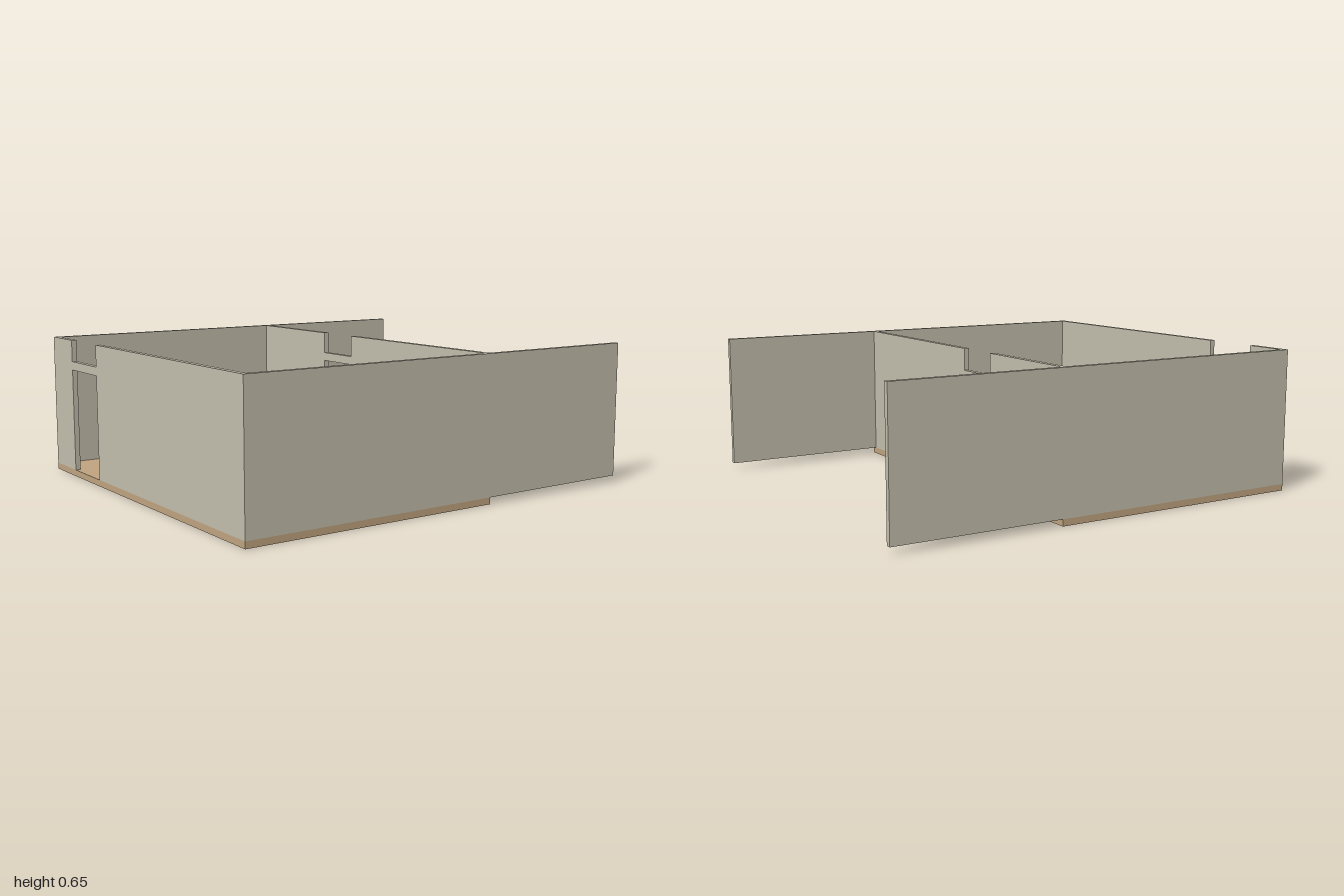
import * as THREE from 'three';

const mat = (color) => new THREE.MeshStandardMaterial({ color });

export function createModel() {
  const model = new THREE.Group();
  const wall = mat(0xc4bfad), wood = mat(0xc0a480), desk = mat(0xa07c58);
  const blue = mat(0x5a7888), green = mat(0x5c7064), dark = mat(0x2e3a3e);

  // Box given by its limits on each axis
  const box = (name, material, [x0, x1], [y0, y1], [z0, z1], parent = model) => {
    const mesh = new THREE.Mesh(new THREE.BoxGeometry(x1 - x0, y1 - y0, z1 - z0), material);
    mesh.position.set((x0 + x1) / 2, (y0 + y1) / 2, (z0 + z1) / 2);
    mesh.name = name;
    parent.add(mesh);
  };

  const floorY = 0.03, topY = 0.65, W = 0.887, T = 0.024;

  // Floor slab
  box('floor', wood, [-W, W], [0, floorY], [-0.222, 1]);

  // Long side walls, running on past the back of the floor
  box('leftWall', wall, [W - T, W], [floorY, topY], [-1, 1]);
  box('rightWall', wall, [-W, T - W], [floorY, topY], [-1, 1]);

  // Cross walls: two panels and a thin lintel over an open doorway
  const crossWall = (name, z, [d0, d1]) => {
    const group = new THREE.Group();
    group.name = name;
    const inner = W - T;
    box('panelRight', wall, [-inner, d0], [floorY, topY], z, group);
    box('panelLeft', wall, [d1, inner], [floorY, topY], z, group);
    box('lintel', wall, [d0, d1], [0.51, 0.55], z, group);
    model.add(group);
  };
  crossWall('frontWall', [1 - T, 1], [-0.67, -0.4]);
  crossWall('backWall', [-0.222, -0.198], [-0.315, -0.09]);

  // Counter with a wooden top, and the things standing on it
  const cx = [0.03, 0.65], cz = [0.21, 0.38];
  box('counterBody', green, cx, [floorY, 0.265], cz);
  box('counterTop', desk, cx, [0.265, 0.28], cz);
  box('counterBox', blue, [0.12, 0.275], [0.28, 0.37], [0.23, 0.33]);
  box('counterScreen', dark, [0.375, 0.48], [0.28, 0.355], [0.247, 0.27]);

  // Bench beside the right wall
  box('bench', blue, [-0.8, -0.67], [floorY, 0.15], [0.375, 0.775]);

  return model;
}
